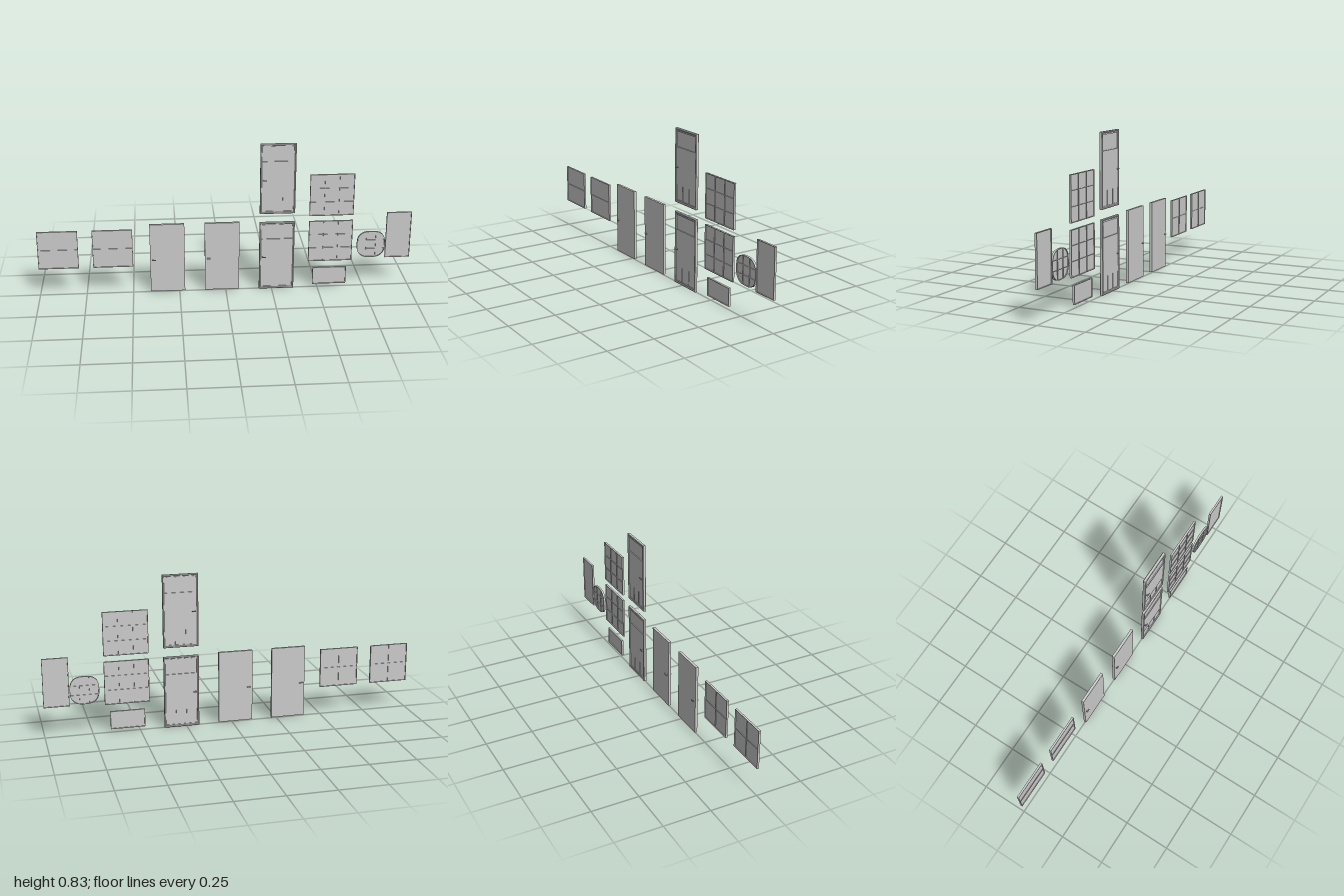
import * as THREE from 'three';

const material = new THREE.MeshStandardMaterial({ color: 0xcccccc, flatShading: true });

function add(parent, name, geometry, x = 0, y = 0, z = 0) {
  const mesh = new THREE.Mesh(geometry, material);
  mesh.name = name;
  mesh.position.set(x, y, z);
  parent.add(mesh);
  return mesh;
}

const box = (parent, name, w, h, d, x = 0, y = 0, z = 0) =>
  add(parent, name, new THREE.BoxGeometry(w, h, d), x, y, z);

// Corners of a rectangle centred on (x, y)
function rect(w, h, x = 0, y = 0) {
  return [[-1, -1], [1, -1], [1, 1], [-1, 1]].map(([a, b]) =>
    new THREE.Vector2(x + a * w / 2, y + b * h / 2));
}

// Rounded square outline for the porthole
function roundedOutline(rx, ry, n = 32, power = 2.7) {
  return Array.from({ length: n }, (_, i) => {
    const t = i / n * Math.PI * 2, c = Math.cos(t), s = Math.sin(t);
    return new THREE.Vector2(
      rx * Math.sign(c) * Math.abs(c) ** (2 / power),
      ry * Math.sign(s) * Math.abs(s) ** (2 / power));
  });
}

// Flat slab with holes, centred on z = 0, optional bevelled rim
function slab(outer, holes, depth, bevel = 0) {
  const shape = new THREE.Shape(outer);
  holes.forEach(h => shape.holes.push(new THREE.Path(h)));
  const geometry = new THREE.ExtrudeGeometry(shape, {
    depth: depth - 2 * bevel, bevelEnabled: bevel > 0, bevelThickness: bevel,
    bevelSize: bevel, bevelOffset: -bevel, bevelSegments: 1, curveSegments: 8,
  });
  return geometry.translate(0, 0, -depth / 2 + bevel);
}

function group(parent, name, x, y) {
  const g = new THREE.Group();
  g.name = name;
  g.position.set(x, y, 0);
  parent.add(g);
  return g;
}

// Lever handles on both faces
function addHandle(parent, x, y) {
  for (const side of [1, -1]) {
    const stem = new THREE.CylinderGeometry(0.003, 0.003, 0.011, 8).rotateX(Math.PI / 2);
    add(parent, 'handleStem', stem, x - 0.006, y, side * 0.0095);
    box(parent, 'handleLever', 0.02, 0.005, 0.004, x, y, side * 0.014);
  }
}

// Thin framed pane divided by glazing bars
function addWindow(parent, name, x0, x1, y0, y1, cols, rows, options = {}) {
  const { round = false, frontUprights = true } = options;
  const w = x1 - x0, h = y1 - y0, rim = 0.003, depth = 0.011, bar = 0.002;
  const g = group(parent, name, (x0 + x1) / 2, (y0 + y1) / 2);
  const outline = (inset) => round
    ? roundedOutline(w / 2 - inset, h / 2 - inset)
    : rect(w - 2 * inset, h - 2 * inset);
  add(g, 'windowFrame', slab(outline(0), [outline(rim)], depth));
  add(g, 'pane', slab(outline(rim), [], 0.002));
  // Bars on a rounded window stop at the curved rim
  const length = (full, offset) => round
    ? full * (1 - Math.abs(2 * offset / w) ** 2.7) ** (1 / 2.7) - rim : full - 2 * rim;
  for (let i = 1; i < cols; i++) {
    const x = (i / cols - 0.5) * w;
    const d = frontUprights ? 0.009 : 0.0055;
    box(g, 'uprightBar', bar, length(h, x), d, x, 0, frontUprights ? 0 : -0.00175);
  }
  for (let j = 1; j < rows; j++) {
    const y = (j / rows - 0.5) * h;
    box(g, 'crossBar', length(w, y), bar, 0.009, 0, y);
  }
}

// Plain flush door
function addPlainDoor(parent, x) {
  const g = group(parent, 'plainDoor', x, 0.2);
  box(g, 'doorLeaf', 0.185, 0.39, 0.014);
  addHandle(g, -0.072, -0.008);
}

// Framed door with a top light and three lower panels
function addPanelDoor(parent, y) {
  const g = group(parent, 'panelDoor', 0.275, y + 0.195);
  add(g, 'doorFrame', slab(rect(0.188, 0.39), [rect(0.172, 0.374)], 0.017, 0.0025));
  const topLight = rect(0.166, 0.08, 0, 0.139);
  const panels = [-1, 0, 1].map(i => rect(0.053, 0.08, i * 0.057, -0.141));
  add(g, 'doorLeaf', slab(rect(0.172, 0.374), [topLight, ...panels], 0.010));
  // Rim standing proud of the leaf around the top light
  add(g, 'topLightTrim', slab(rect(0.172, 0.088, 0, 0.139), [topLight], 0.013));
  box(g, 'topPane', 0.166, 0.08, 0.003, 0, 0.139);
  for (const i of [-1, 0, 1]) box(g, 'lowerPanel', 0.053, 0.08, 0.004, i * 0.057, -0.141);
  addHandle(g, -0.07, -0.005);
}

export function createModel() {
  const model = new THREE.Group();
  model.name = 'doorsAndWindows';

  // Four-light windows
  for (const x of [-1, -0.71]) {
    addWindow(model, 'fourLightWindow', x, x + 0.213, 0.155, 0.368, 2, 2, { frontUprights: false });
  }

  // Doors
  for (const x of [-0.313, -0.02]) addPlainDoor(model, x);
  for (const y of [0, 0.44]) addPanelDoor(model, y);

  // Nine-light windows
  for (const y of [0.155, 0.42]) {
    addWindow(model, 'nineLightWindow', 0.447, 0.683, y, y + 0.233, 3, 3);
  }

  // Small, rounded and tall windows
  addWindow(model, 'transomWindow', 0.473, 0.656, 0.018, 0.115, 1, 1);
  addWindow(model, 'roundedWindow', 0.71, 0.863, 0.169, 0.32, 3, 3, { round: true });
  addWindow(model, 'tallWindow', 0.866, 1, 0.165, 0.427, 1, 1);
  return model;
}
